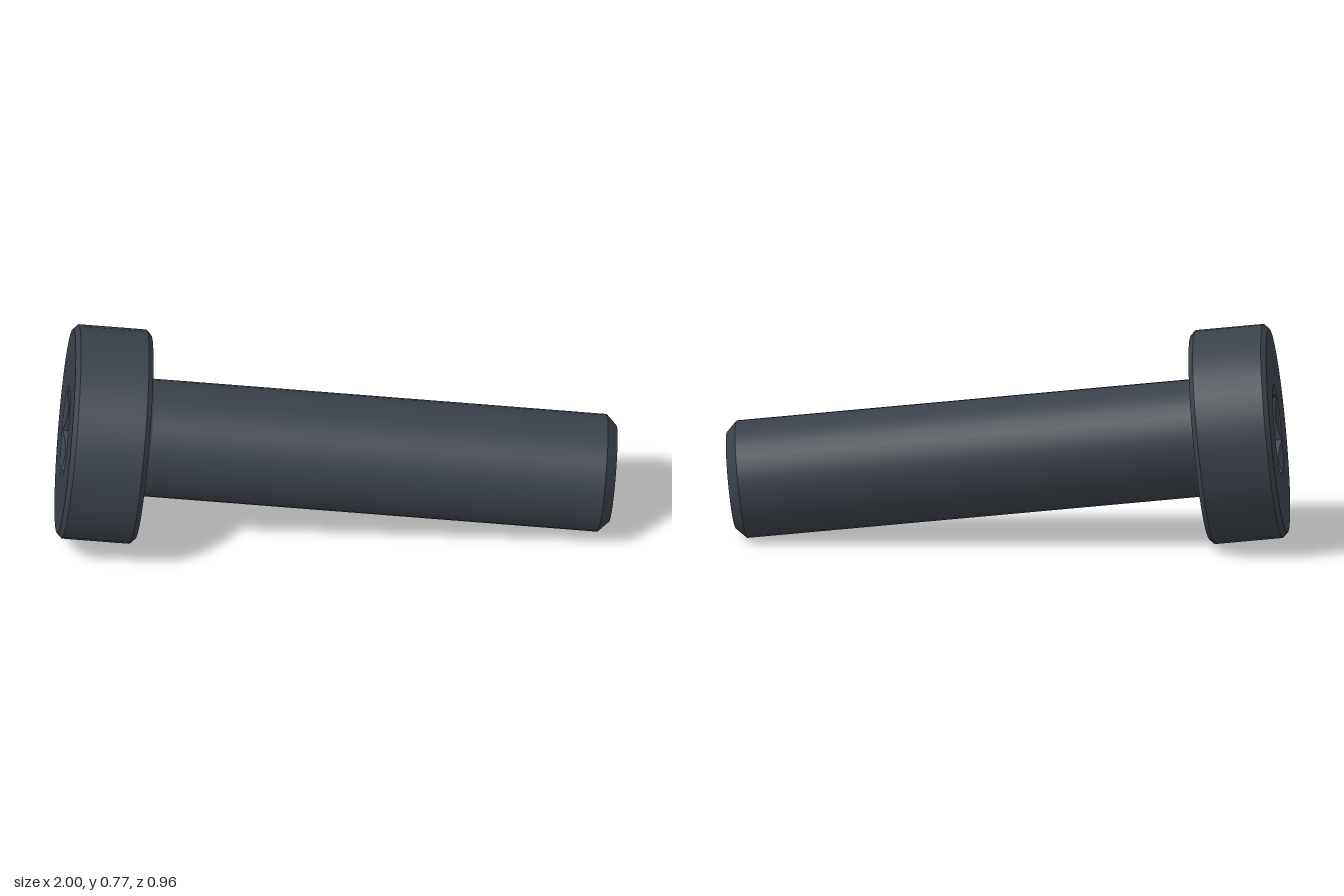
import * as THREE from 'three';
import { mergeGeometries } from 'three/addons/utils/BufferGeometryUtils.js';

const SIDES = 36;
const LENGTH = 1.93;      // tip to head top
const UNDER = 1.656;      // underside of the head
const R = 0.207;          // shaft radius
const HEAD = 0.377;       // head radius

// Lathe each profile strip on its own so the edges between strips stay sharp
function turned(strips) {
  return mergeGeometries(strips.map(s =>
    new THREE.LatheGeometry(s.map(p => new THREE.Vector2(p[0], p[1])), SIDES)));
}

// Flat faces between rings; each ring gives [radius, height] for an angle
function facetedRings(rings) {
  const pos = [];
  const at = (ring, i) => {
    const a = (i / SIDES) * Math.PI * 2;
    const [r, y] = ring(a);
    return [r * Math.cos(a), y, -r * Math.sin(a)];
  };
  for (let k = 0; k < rings.length - 1; k++) {
    for (let i = 0; i < SIDES; i++) {
      const a = at(rings[k], i), b = at(rings[k], i + 1);
      const c = at(rings[k + 1], i), d = at(rings[k + 1], i + 1);
      pos.push(...a, ...b, ...d, ...a, ...d, ...c);
    }
  }
  const g = new THREE.BufferGeometry();
  g.setAttribute('position', new THREE.Float32BufferAttribute(pos, 3));
  g.computeVertexNormals();
  return g;
}

export function createModel() {
  const steel = new THREE.MeshStandardMaterial({ color: 0x3a414a });
  steel.name = 'dark steel';
  const bolt = new THREE.Group();
  bolt.name = 'bolt';
  const add = (name, geometry) => {
    const mesh = new THREE.Mesh(geometry, steel);
    mesh.name = name;
    bolt.add(mesh);
  };

  // Shaft with chamfered tip and a small fillet under the head
  const f = 0.02;
  const side = [[R, 0.037], [R, UNDER - f]];
  for (let i = 1; i <= 5; i++) {
    const a = (i / 5) * Math.PI / 2;
    side.push([R + f * (1 - Math.cos(a)), UNDER - f + f * Math.sin(a)]);
  }
  add('shaft', turned([[[0, 0], [0.17, 0]], [[0.17, 0], [R, 0.037]], side]));

  // Head with chamfered rims
  const c = 0.017;
  add('head', turned([
    [[R, UNDER], [HEAD - c, UNDER]],
    [[HEAD - c, UNDER], [HEAD, UNDER + c]],
    [[HEAD, UNDER + c], [HEAD, LENGTH - c]],
    [[HEAD, LENGTH - c], [HEAD - c, LENGTH]],
  ]));

  // Head top with countersunk hexagonal socket
  const mouth = 0.163, sixth = Math.PI / 3;
  const hex = a => 0.138 / Math.cos((a % sixth) - sixth / 2);
  const floor = LENGTH - 0.207;
  add('headTopAndSocket', facetedRings([
    () => [HEAD - c, LENGTH],
    () => [mouth, LENGTH],
    a => [hex(a), LENGTH - (mouth - hex(a)) * 0.6],
    a => [hex(a), floor],
    () => [0, floor],
  ]));

  // Lay the bolt down, tip to the left and slightly forward
  const up = new THREE.Vector3(-1, 0.107, -0.215).normalize();
  const corner = new THREE.Vector3(-0.23, -0.4, 0.885);
  corner.addScaledVector(up, -corner.dot(up)).normalize();
  const third = new THREE.Vector3().crossVectors(corner, up);
  bolt.quaternion.setFromRotationMatrix(new THREE.Matrix4().makeBasis(corner, up, third));
  bolt.position.set(0.96, 0.208, 0.283);

  const model = new THREE.Group();
  model.name = 'socketHeadBolt';
  model.add(bolt);
  return model;
}
